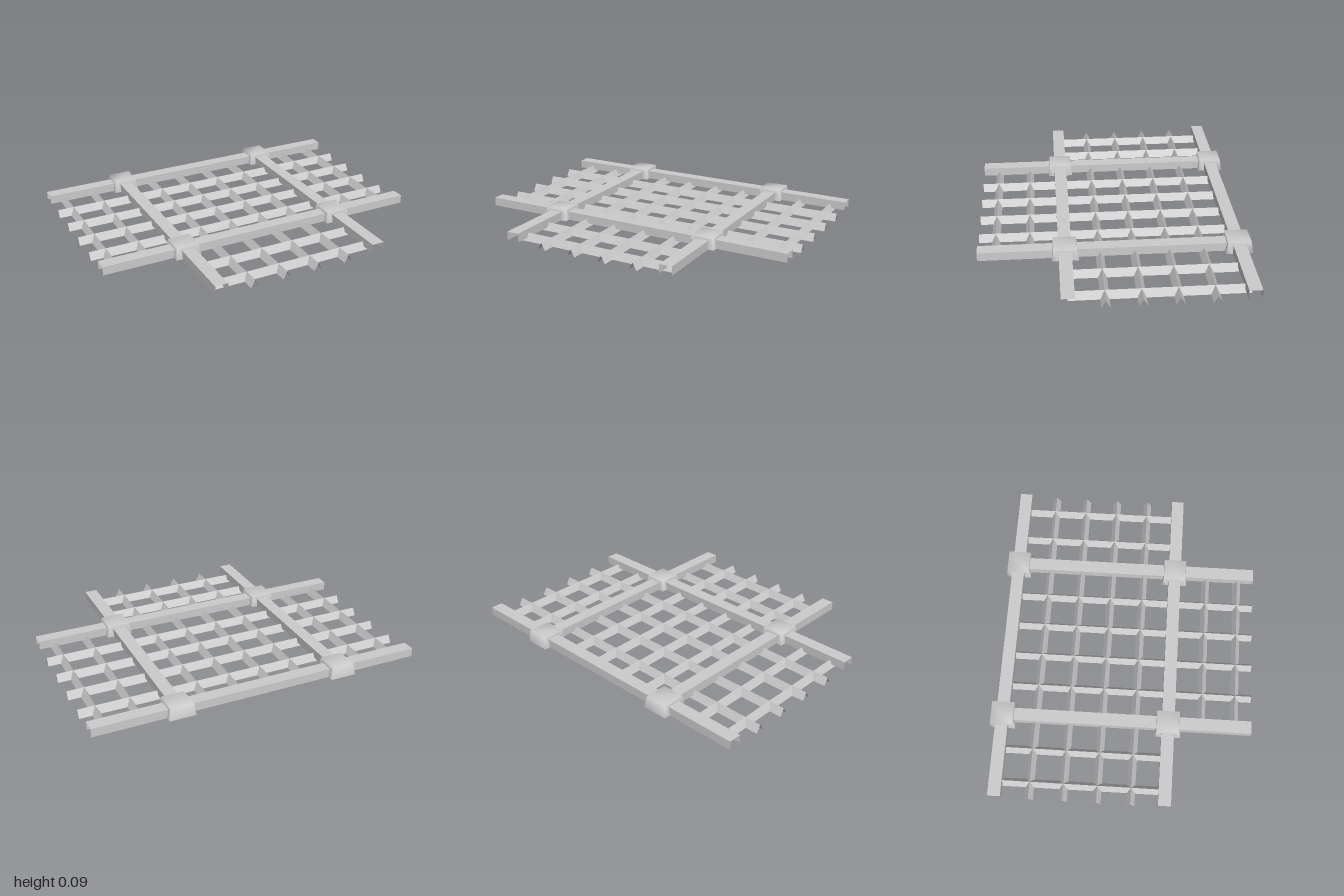
import * as THREE from 'three';
import { mergeGeometries, mergeVertices } from 'three/addons/utils/BufferGeometryUtils.js';

const material = new THREE.MeshStandardMaterial({ color: 0xcccccc, side: THREE.DoubleSide });
const BACK = -0.715, MIDDLE = 0.285, FRONT = 0.785;

// Open sheet profile [across, y] drawn out along z, with flat facets
function sheet(profile, length) {
  const pos = [], h = length / 2;
  for (let i = 0; i < profile.length - 1; i++) {
    const [a, ay] = profile[i], [b, by] = profile[i + 1];
    pos.push(a, ay, -h, a, ay, h, b, by, h, a, ay, -h, b, by, h, b, by, -h);
  }
  const g = new THREE.BufferGeometry();
  g.setAttribute('position', new THREE.Float32BufferAttribute(pos, 3));
  g.computeVertexNormals();
  return g;
}

const CHANNEL = [[-0.038, 0.018], [-0.038, 0.07], [0.038, 0.07], [0.038, 0.018]];
const RIDGE = [[-0.025, 0], [0, 0.045], [0.025, 0]];

// Tapered, hollow cap with notches where beams pass through its walls
function capGeometry(openBack) {
  const low = 0.02, high = 0.09, wide = 0.077, narrow = 0.067, notch = 0.039, notchTop = 0.071;
  const reach = y => wide + (narrow - wide) * (y - low) / (high - low);
  const parts = [];
  for (let side = 0; side < 4; side++) {
    const pts = [[-wide, low]];
    if (side !== 2 || openBack) {
      pts.push([-notch, low], [-notch, notchTop], [notch, notchTop], [notch, low]);
    }
    pts.push([wide, low], [narrow, high], [-narrow, high]);
    const wall = new THREE.ShapeGeometry(new THREE.Shape(pts.map(p => new THREE.Vector2(...p))));
    const pos = wall.attributes.position;
    for (let i = 0; i < pos.count; i++) pos.setZ(i, reach(pos.getY(i)));
    parts.push(wall.rotateY(side * Math.PI / 2));
  }
  parts.push(new THREE.PlaneGeometry(2 * narrow, 2 * narrow).rotateX(-Math.PI / 2).translate(0, high, 0));
  const merged = mergeGeometries(parts);
  merged.deleteAttribute('uv');
  merged.deleteAttribute('normal');
  const g = mergeVertices(merged, 1e-4);
  g.computeVertexNormals();
  return g;
}

export function createModel() {
  const model = new THREE.Group();
  const add = (name, geometry, x, z, parent = model) => {
    const mesh = new THREE.Mesh(geometry, material);
    mesh.name = name;
    mesh.position.set(x, 0, z);
    parent.add(mesh);
  };
  const alongX = (name, profile, halfLength, z, parent) =>
    add(name, sheet(profile, 2 * halfLength).rotateY(Math.PI / 2), 0, z, parent);
  const alongZ = (name, profile, x, z0, z1, parent) =>
    add(name, sheet(profile, z1 - z0), x, (z0 + z1) / 2, parent);

  // Main frame of inverted channels
  for (const z of [BACK, MIDDLE]) alongX('crossBeam', CHANNEL, 1, z);
  for (const x of [-0.5, 0.5]) alongZ('longBeam', CHANNEL, x, BACK, FRONT);

  // Lattice of ridged bars below the frame
  const lattice = new THREE.Group();
  lattice.name = 'lattice';
  model.add(lattice);
  for (let i = 1; i <= 4; i++) alongX('crossBar', RIDGE, 1, BACK + 0.2 * i, lattice);
  for (let i = 1; i <= 2; i++) alongX('frontCrossBar', RIDGE, 0.5, MIDDLE + 0.2 * i, lattice);
  for (const x of [0.1, 0.3, 0.7, 0.9]) {
    for (const s of [-1, 1]) alongZ('longBar', RIDGE, s * x, BACK, x < 0.5 ? FRONT : MIDDLE, lattice);
  }

  // Caps over the beam joints
  for (const x of [-0.5, 0.5]) {
    add('backJointCap', capGeometry(false), x, BACK);
    add('frontJointCap', capGeometry(true), x, MIDDLE);
  }
  return model;
}
